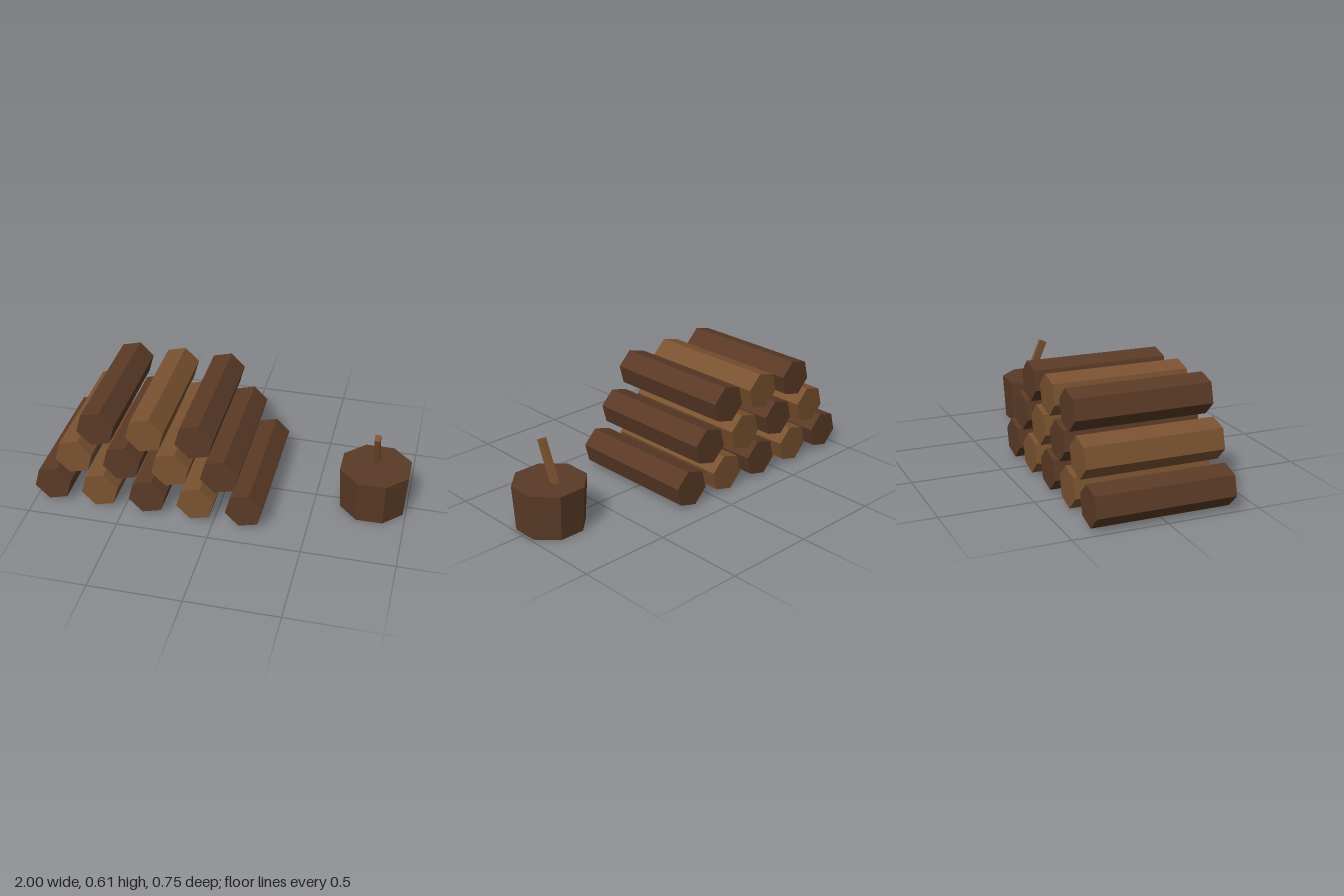
import * as THREE from 'three';

const darkWood = new THREE.MeshStandardMaterial({ color: 0x5a3a26, flatShading: true });
darkWood.name = 'darkWood';
const lightWood = new THREE.MeshStandardMaterial({ color: 0x7a5230, flatShading: true });
lightWood.name = 'lightWood';

function addPart(parent, name, geometry, material, x, y, z) {
  const mesh = new THREE.Mesh(geometry, material);
  mesh.name = name;
  mesh.position.set(x, y, z);
  parent.add(mesh);
  return mesh;
}

export function createModel() {
  const model = new THREE.Group();
  model.name = 'woodpile';

  // Stacked six-sided logs lying along z, alternating in colour
  const pile = new THREE.Group();
  pile.name = 'logPile';
  model.add(pile);
  const spacing = 0.2667;
  const logGeometry = new THREE.CylinderGeometry(0.1067, 0.1067, 0.747, 6, 1, false, Math.PI / 4);
  logGeometry.rotateX(Math.PI / 2);
  for (let row = 0; row < 3; row++) {
    for (let i = 0; i < 5 - row; i++) {
      const material = (row + i) % 2 ? lightWood : darkWood;
      const x = -0.897 + (i + row / 2) * spacing;
      addPart(pile, 'log', logGeometry, material, x, 0.11 + row * 0.2, 0);
    }
  }

  // Eight-sided chopping block, wider at the top
  const block = new THREE.CylinderGeometry(0.2, 0.185, 0.25, 8, 1, false, Math.PI / 8);
  addPart(model, 'choppingBlock', block, darkWood, 0.815, 0.125, 0);

  // Tool handle leaning forward out of the block
  const tilt = 0.4;
  const length = 0.333;
  const handle = addPart(
    model, 'toolHandle', new THREE.BoxGeometry(0.03, length, 0.04), lightWood,
    0.815, 0.465 - (length / 2) * Math.cos(tilt), 0.0485 - (length / 2) * Math.sin(tilt)
  );
  handle.rotation.x = tilt;

  return model;
}
